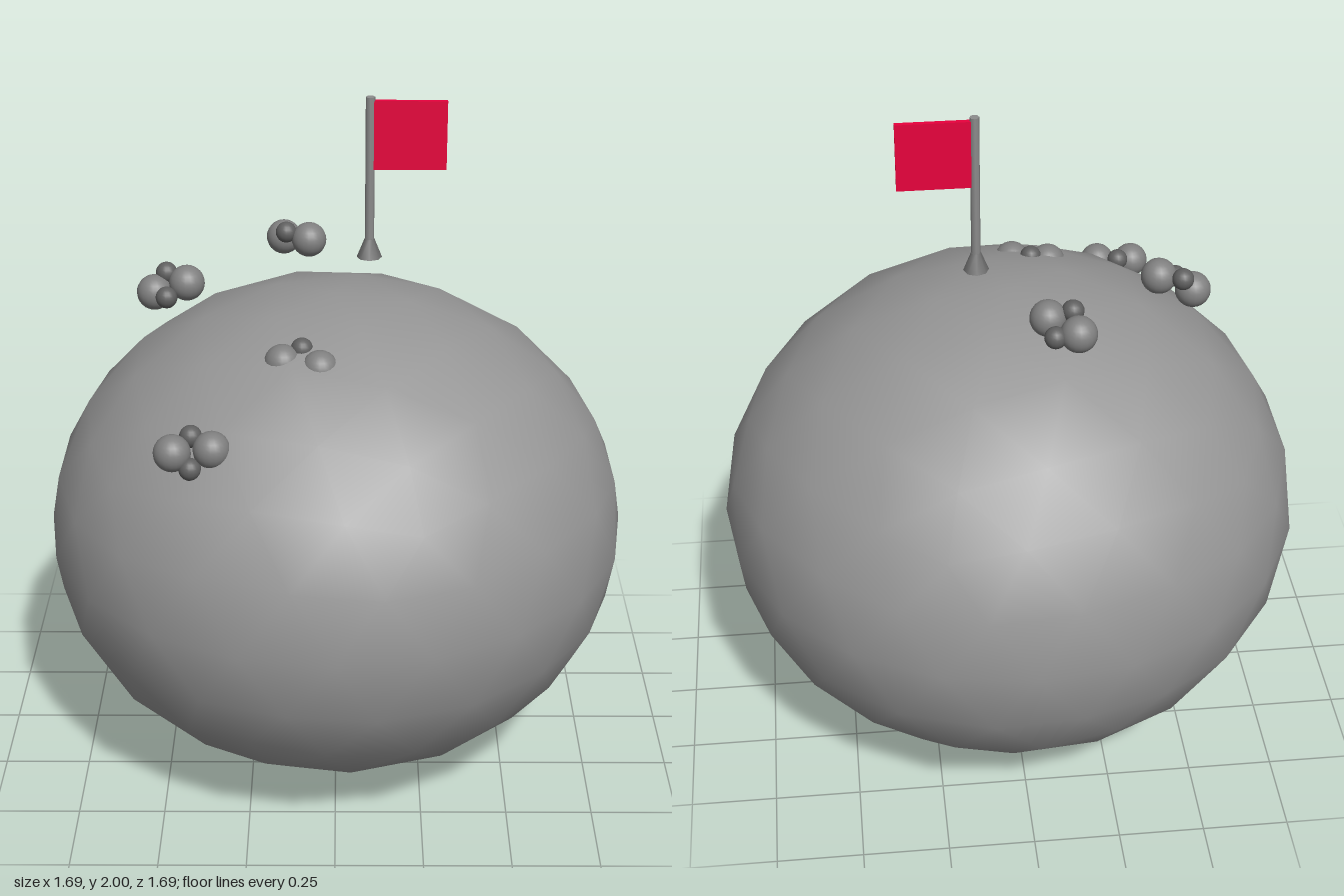
import * as THREE from 'three';

const paint = (color) => new THREE.MeshStandardMaterial({ color });
const bodyGrey = paint(0x969696);
const poleGrey = paint(0x8c8c8c);
const footGrey = paint(0x707070);
const red = paint(0xe8003c);

function add(parent, name, geometry, material, x, y, z) {
  const mesh = new THREE.Mesh(geometry, material);
  mesh.name = name;
  mesh.position.set(x, y, z);
  parent.add(mesh);
  return mesh;
}

export function createModel() {
  const model = new THREE.Group();
  model.name = 'moundWithFlag';

  // Squashed icosphere, turned so one corner points straight up
  const body = new THREE.IcosahedronGeometry(1, 3);
  body.rotateZ(-Math.atan(2 / (1 + Math.sqrt(5))));
  body.scale(0.847, 0.718, 0.847);
  add(model, 'body', body, bodyGrey, 0, 0.72, 0);

  // Clusters of two large and two small, darker pebbles: [x, y, z]
  const clusters = {
    leftCluster: {
      large: [[-0.519, 1.426, -0.035], [-0.424, 1.463, -0.014]],
      small: [[-0.485, 1.476, -0.06], [-0.48, 1.434, 0.027]],
    },
    backCluster: {
      large: [[-0.156, 1.487, -0.327], [-0.08, 1.502, -0.262]],
      small: [[-0.092, 1.485, -0.335], [-0.147, 1.523, -0.266]],
    },
    topCluster: {
      large: [[-0.145, 1.349, 0.288], [-0.042, 1.345, 0.32]],
      small: [[-0.092, 1.381, 0.267], [-0.095, 1.313, 0.34]],
    },
    frontCluster: {
      large: [[-0.435, 1.192, 0.53], [-0.329, 1.2, 0.526]],
      small: [[-0.387, 1.221, 0.487], [-0.387, 1.154, 0.55]],
    },
  };
  const pebbles = {
    large: [new THREE.SphereGeometry(0.051, 20, 14), paint(0x808080)],
    small: [new THREE.SphereGeometry(0.031, 16, 12), paint(0x606060)],
  };
  for (const [name, sizes] of Object.entries(clusters)) {
    const group = new THREE.Group();
    group.name = name;
    for (const [size, points] of Object.entries(sizes)) {
      for (const p of points) add(group, size + 'Pebble', ...pebbles[size], ...p);
    }
    model.add(group);
  }

  // Flag on a pole with a flared foot
  const flag = new THREE.Group();
  flag.name = 'flagpole';
  flag.position.set(0.095, 0, -0.041);
  add(flag, 'pole', new THREE.CylinderGeometry(0.013, 0.013, 0.44, 8), poleGrey, 0, 1.78, 0);
  add(flag, 'foot', new THREE.CylinderGeometry(0.014, 0.036, 0.055, 8), footGrey, 0, 1.56, 0);
  add(flag, 'flag', new THREE.BoxGeometry(0.208, 0.197, 0.014), red, 0.109, 1.891, 0);
  model.add(flag);

  return model;
}
